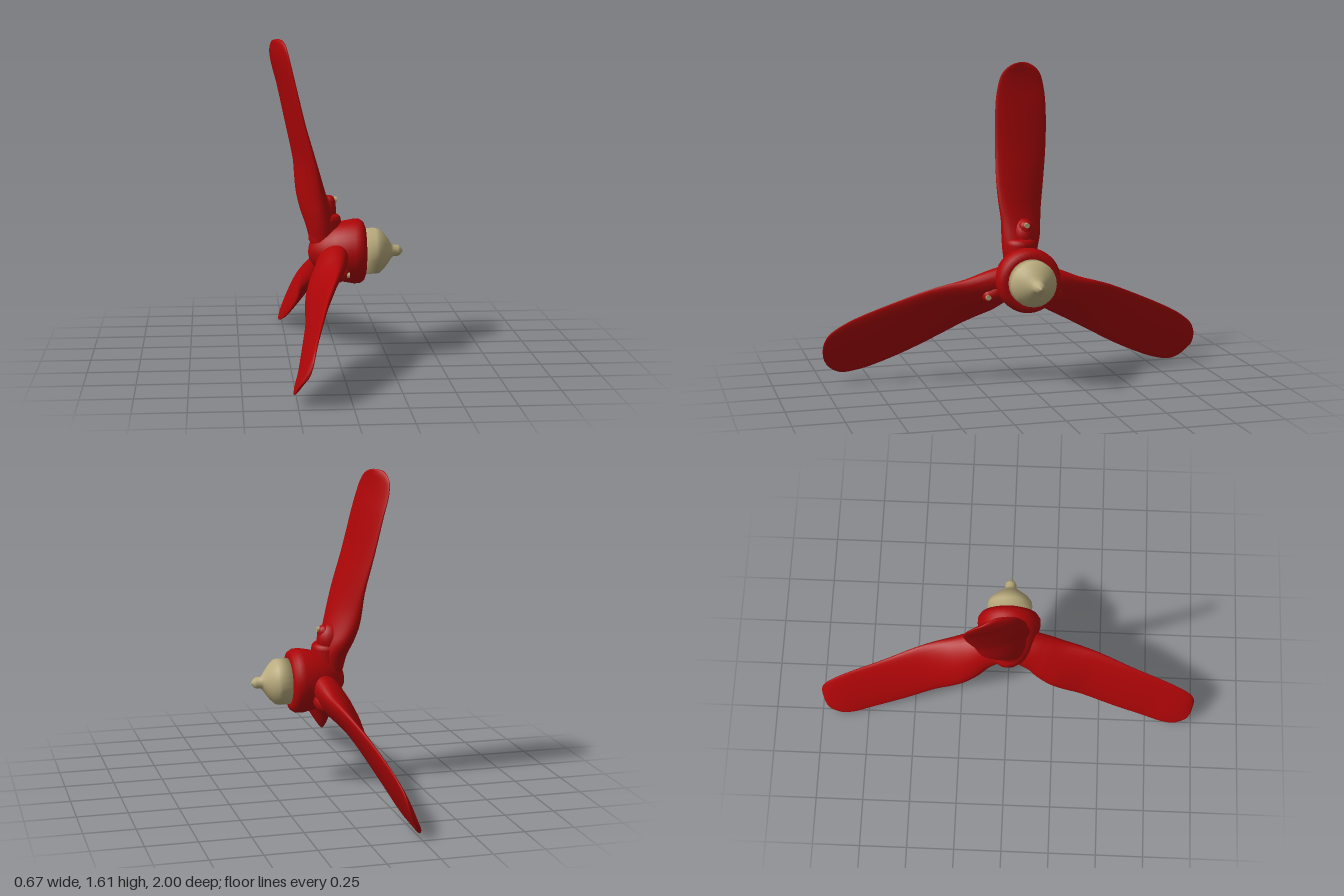
import * as THREE from 'three';

const red = new THREE.MeshStandardMaterial({ color: 0xac0507 });
red.name = 'red paint';
const tan = new THREE.MeshStandardMaterial({ color: 0xb9ab7d });
tan.name = 'tan metal';

const AXIS_Y = 0.545;

function add(parent, name, geometry, material) {
  const mesh = new THREE.Mesh(geometry, material);
  mesh.name = name;
  parent.add(mesh);
  return mesh;
}

// Turned part whose axis runs along x; the profile lists [x, radius]
function turned(profile, segments) {
  const points = profile.map(([x, r]) => new THREE.Vector2(r, x));
  return new THREE.LatheGeometry(points, segments).rotateZ(-Math.PI / 2);
}

// Blade stations: radius, trailing edge x and z, leading edge x and z, thickness
const STATIONS = [
  [0.04, -0.06, 0.08, -0.085, -0.08, 0.13],
  [0.13, -0.06, 0.088, -0.11, -0.095, 0.145],
  [0.20, -0.065, 0.09, -0.148, -0.118, 0.14],
  [0.28, -0.078, 0.092, -0.182, -0.132, 0.115],
  [0.36, -0.094, 0.102, -0.198, -0.145, 0.088],
  [0.46, -0.118, 0.11, -0.21, -0.16, 0.064],
  [0.65, -0.17, 0.104, -0.252, -0.187, 0.046],
  [0.85, -0.215, 0.09, -0.297, -0.199, 0.036],
  [0.94, -0.235, 0.074, -0.322, -0.195, 0.032],
  [1.005, -0.25, 0.05, -0.332, -0.18, 0.028],
  [1.04, -0.26, 0.018, -0.328, -0.15, 0.024],
  [1.06, -0.272, -0.022, -0.32, -0.115, 0.018],
  [1.067, -0.285, -0.055, -0.3, -0.08, 0.006],
];

// side = -1 mirrors the pitch; lean moves the blade forward along the shaft
function bladeGeometry({ side, lean, stretch }) {
  const trailing = new THREE.CatmullRomCurve3(STATIONS.map(([r, x, z]) =>
    new THREE.Vector3(x + lean * 0.08, r * stretch, z)));
  const leading = new THREE.CatmullRomCurve3(STATIONS.map(([r, , , x, z]) =>
    new THREE.Vector3(x + lean * 0.065 * r, r * stretch, z)));
  const last = STATIONS.length - 1, rings = last * 3, sides = 28;
  const position = [], index = [];
  for (let i = 0; i <= rings; i++) {
    const a = trailing.getPoint(i / rings), b = leading.getPoint(i / rings);
    const k = Math.min(Math.floor(i / 3), last - 1);
    const thick = THREE.MathUtils.lerp(STATIONS[k][5], STATIONS[k + 1][5], i / 3 - k);
    const mid = a.clone().add(b).multiplyScalar(0.5);
    const half = b.clone().sub(a).multiplyScalar(0.5);
    const normal = new THREE.Vector3(half.z, 0, -half.x).normalize();
    for (let j = 0; j < sides; j++) {
      const t = (j / sides) * Math.PI * 2;
      const p = mid.clone().addScaledVector(half, Math.cos(t))
        .addScaledVector(normal, Math.sin(t) * thick / 2);
      position.push(p.x, p.y, p.z * side);
    }
  }
  for (let i = 0; i < rings; i++) {
    for (let j = 0; j < sides; j++) {
      const n = (j + 1) % sides;
      const a = i * sides + j, b = i * sides + n;
      index.push(a, b, b + sides, a, b + sides, a + sides);
    }
  }
  // Tip cap
  for (let j = 1; j < sides - 1; j++) {
    index.push(rings * sides, rings * sides + j, rings * sides + j + 1);
  }
  if (side < 0) index.reverse();
  const geometry = new THREE.BufferGeometry();
  geometry.setAttribute('position', new THREE.Float32BufferAttribute(position, 3));
  geometry.setIndex(index);
  geometry.computeVertexNormals();
  return geometry;
}

function createBlade(options) {
  const { side, lean, bolted } = options;
  const blade = new THREE.Group();
  blade.name = 'bladeAssembly';
  add(blade, 'blade', bladeGeometry(options), red);

  // Fittings at the root of the blade
  const fittings = new THREE.Group();
  fittings.name = 'rootFittings';
  fittings.position.set(lean * 0.05, lean * -0.05, 0);
  blade.add(fittings);

  const collarProfile = [[0.06, 0.082], [0.16, 0.082], [0.178, 0.078], [0.19, 0.066], [0.192, 0]];
  const collar = add(fittings, 'rootCollar', new THREE.LatheGeometry(
    collarProfile.map(([y, r]) => new THREE.Vector2(r, y)), 28), red);
  collar.position.x = -0.065;

  // Rounded boss that carries the bolt
  const boss = add(fittings, 'boltBoss', new THREE.SphereGeometry(1, 20, 14), red);
  boss.scale.set(0.07, 0.085, 0.06);
  boss.position.set(-0.075, 0.205, -0.02 * side);

  if (bolted) {
    const face = add(fittings, 'bossFace', new THREE.CapsuleGeometry(0.035, 0.05, 6, 16), red);
    face.position.set(-0.043, 0.225, -0.02 * side);
    const bolt = add(fittings, 'bolt', new THREE.CylinderGeometry(0.014, 0.014, 0.03, 8), tan);
    bolt.rotation.z = Math.PI / 2;
    bolt.position.set(-0.018, 0.262, -0.02 * side);
  }
  return blade;
}

// Upper blade, then a lower pair with mirrored pitch
const BLADES = [
  { angle: 0, side: 1, lean: 0, stretch: 1, bolted: true },
  { angle: 109, side: -1, lean: 1, stretch: 1.005, bolted: true },
  { angle: -111.5, side: 1, lean: 1, stretch: 1.02, bolted: false },
];

export function createModel() {
  const model = new THREE.Group();
  model.name = 'propeller';
  const rotor = new THREE.Group();
  rotor.name = 'rotor';
  rotor.position.y = AXIS_Y;
  model.add(rotor);

  // Hub and spinner on the shaft axis
  add(rotor, 'hub', turned([[-0.15, 0], [-0.143, 0.04], [-0.115, 0.08], [-0.07, 0.118],
    [-0.02, 0.142], [0.03, 0.155], [0.08, 0.164], [0.11, 0.163], [0.13, 0.15],
    [0.14, 0.125], [0.14, 0]], 36), red);
  add(rotor, 'spinner', turned([[0.13, 0], [0.13, 0.117], [0.19, 0.117], [0.21, 0.113],
    [0.235, 0.09], [0.255, 0.064], [0.27, 0.042], [0.283, 0.029], [0.305, 0.029],
    [0.318, 0.022], [0.333, 0]], 24), tan);

  for (const options of BLADES) {
    const blade = createBlade(options);
    blade.rotation.x = THREE.MathUtils.degToRad(options.angle);
    rotor.add(blade);
  }
  return model;
}
